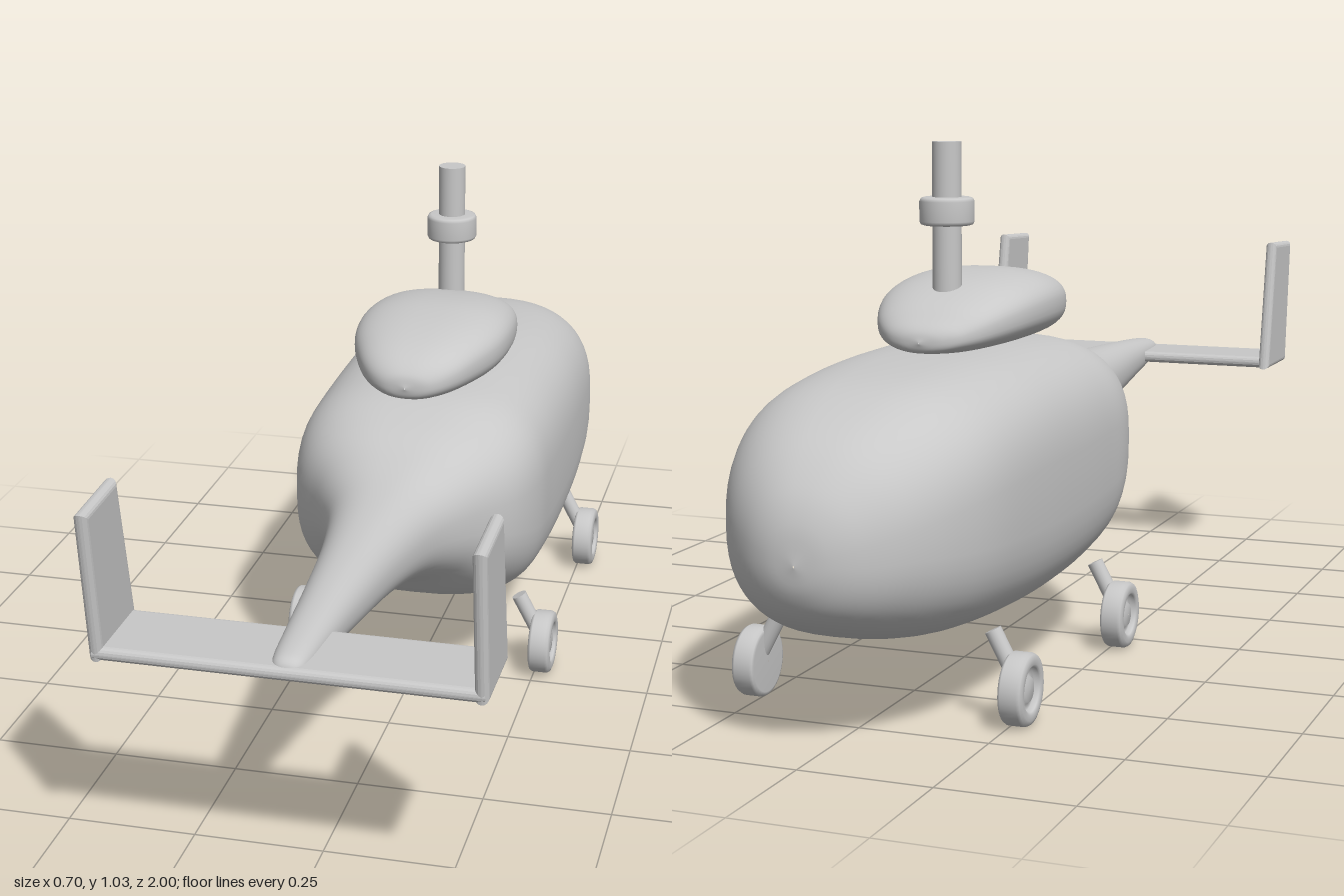
import * as THREE from 'three';

const grey = new THREE.MeshStandardMaterial({ color: 0xc8c8c8 });
grey.name = 'light grey';

function add(parent, name, geometry, x = 0, y = 0, z = 0) {
  const mesh = new THREE.Mesh(geometry, grey);
  mesh.name = name;
  mesh.position.set(x, y, z);
  parent.add(mesh);
  return mesh;
}

// Smooth skin through stations of [z, half width, top, bottom, squareness]
function loft(stations, rows = 90, sides = 56) {
  const a = new THREE.CatmullRomCurve3(stations.map(s => new THREE.Vector3(s[0], s[1], s[4])), false, 'catmullrom', 0.5);
  const b = new THREE.CatmullRomCurve3(stations.map(s => new THREE.Vector3(s[2], s[3], 0)), false, 'catmullrom', 0.5);
  const positions = [], index = [];
  const power = (v, n) => Math.sign(v) * Math.pow(Math.abs(v), 2 / n);
  for (let i = 0; i <= rows; i++) {
    const p = a.getPoint(i / rows), q = b.getPoint(i / rows);
    for (let j = 0; j < sides; j++) {
      const t = (j / sides) * Math.PI * 2;
      positions.push(
        p.y * power(Math.cos(t), p.z),
        (q.x + q.y) / 2 + (q.x - q.y) / 2 * power(Math.sin(t), p.z),
        p.x);
      if (i === rows) continue;
      const k = i * sides + j, m = i * sides + (j + 1) % sides;
      index.push(k, m, k + sides, m, m + sides, k + sides);
    }
  }
  const g = new THREE.BufferGeometry();
  g.setAttribute('position', new THREE.Float32BufferAttribute(positions, 3));
  g.setIndex(index);
  g.computeVertexNormals();
  return g;
}

// Turned solid from [radius, height] points, with a crease at every point
function turned(points) {
  return new THREE.LatheGeometry(points.map(p => new THREE.Vector2(p[0], p[1])), 40);
}

// Flat plate with rounded rims; outline is drawn in (x, y), centred in depth
function plate(points, thickness) {
  const r = thickness / 2 - 0.001;
  const shape = new THREE.Shape(points.map(p => new THREE.Vector2(p[0], p[1])));
  const g = new THREE.ExtrudeGeometry(shape, {
    depth: 0.002, bevelEnabled: true, bevelThickness: r, bevelSize: r, bevelOffset: -r, bevelSegments: 4,
  });
  return g.translate(0, 0, -0.001);
}

export function createModel() {
  const model = new THREE.Group();
  model.name = 'helicopter';

  // Body from nose to tail tip
  add(model, 'fuselage', loft([
    [-1.0, 0.001, 0.352, 0.348, 2.2],
    [-0.99, 0.06, 0.42, 0.297, 2.2],
    [-0.96, 0.115, 0.48, 0.25, 2.3],
    [-0.9, 0.175, 0.54, 0.212, 2.4],
    [-0.81, 0.225, 0.587, 0.182, 2.6],
    [-0.69, 0.257, 0.62, 0.162, 2.8],
    [-0.5, 0.268, 0.636, 0.15, 3],
    [-0.3, 0.269, 0.64, 0.146, 3],
    [-0.13, 0.266, 0.637, 0.157, 3],
    [-0.01, 0.26, 0.628, 0.18, 2.9],
    [0.09, 0.23, 0.602, 0.23, 2.7],
    [0.19, 0.165, 0.567, 0.3, 2.5],
    [0.3, 0.112, 0.544, 0.346, 2.3],
    [0.46, 0.079, 0.53, 0.38, 2.2],
    [0.67, 0.056, 0.52, 0.411, 2.2],
    [0.82, 0.043, 0.512, 0.434, 2.2],
    [0.92, 0.034, 0.504, 0.45, 2.2],
    [0.952, 0.023, 0.495, 0.46, 2.2],
    [0.962, 0.001, 0.477, 0.475, 2.2],
  ]));

  // Engine housing on the roof
  add(model, 'engineHousing', loft([
    [-0.47, 0.001, 0.662, 0.658, 2.2],
    [-0.462, 0.045, 0.682, 0.642, 2.3],
    [-0.44, 0.082, 0.701, 0.637, 2.4],
    [-0.39, 0.12, 0.732, 0.634, 2.5],
    [-0.3, 0.152, 0.763, 0.633, 2.5],
    [-0.19, 0.163, 0.777, 0.633, 2.5],
    [-0.09, 0.154, 0.772, 0.635, 2.5],
    [0.0, 0.124, 0.756, 0.641, 2.5],
    [0.06, 0.091, 0.735, 0.647, 2.4],
    [0.095, 0.05, 0.709, 0.656, 2.3],
    [0.105, 0.001, 0.682, 0.678, 2.2],
  ], 60));

  // Rotor mast with its collar
  add(model, 'rotorMast', new THREE.CylinderGeometry(0.028, 0.028, 0.33, 32), 0, 0.865, -0.33);
  add(model, 'mastCollar', turned([
    [0.02, -0.027], [0.044, -0.027], [0.05, -0.025], [0.053, -0.019],
    [0.053, 0.019], [0.05, 0.025], [0.044, 0.027], [0.02, 0.027],
  ]), 0, 0.898, -0.33);

  // Tailplane
  const tailplane = add(model, 'tailplane',
    plate([[-0.345, -0.967], [0.345, -0.967], [0.345, -0.8], [-0.345, -0.8]], 0.025), 0, 0.474, 0);
  tailplane.rotation.x = -Math.PI / 2;

  // Upright fins, wheels and struts on both sides
  const wheelProfile = [
    [0.001, -0.022], [0.058, -0.022], [0.064, -0.02], [0.067, -0.015], [0.067, 0.015],
    [0.064, 0.021], [0.056, 0.024], [0.046, 0.024], [0.041, 0.021], [0.038, 0.012],
    [0.026, 0.012], [0.022, 0.018], [0.001, 0.019],
  ];
  for (const side of [1, -1]) {
    const fin = add(model, side > 0 ? 'leftFin' : 'rightFin',
      plate([[-0.965, 0.46], [-0.79, 0.46], [-0.848, 0.755], [-1.0, 0.748]], 0.025), side * 0.338, 0, 0);
    fin.rotation.y = Math.PI / 2;

    for (const z of [-0.63, -0.06]) {
      const gear = new THREE.Group();
      gear.name = (side > 0 ? 'left' : 'right') + (z < -0.3 ? 'NoseGear' : 'MainGear');
      gear.position.z = z;
      model.add(gear);

      const wheel = add(gear, 'wheel', turned(wheelProfile), side * 0.264, 0.067, 0);
      wheel.rotation.z = -side * Math.PI / 2;

      const top = new THREE.Vector3(side * 0.211, 0.171, 0);
      const foot = new THREE.Vector3(side * 0.262, 0.075, 0);
      const strut = add(gear, 'strut', new THREE.CylinderGeometry(0.016, 0.016, top.distanceTo(foot), 20));
      strut.position.copy(top).add(foot).multiplyScalar(0.5);
      strut.quaternion.setFromUnitVectors(new THREE.Vector3(0, 1, 0), top.clone().sub(foot).normalize());
    }
  }
  return model;
}
